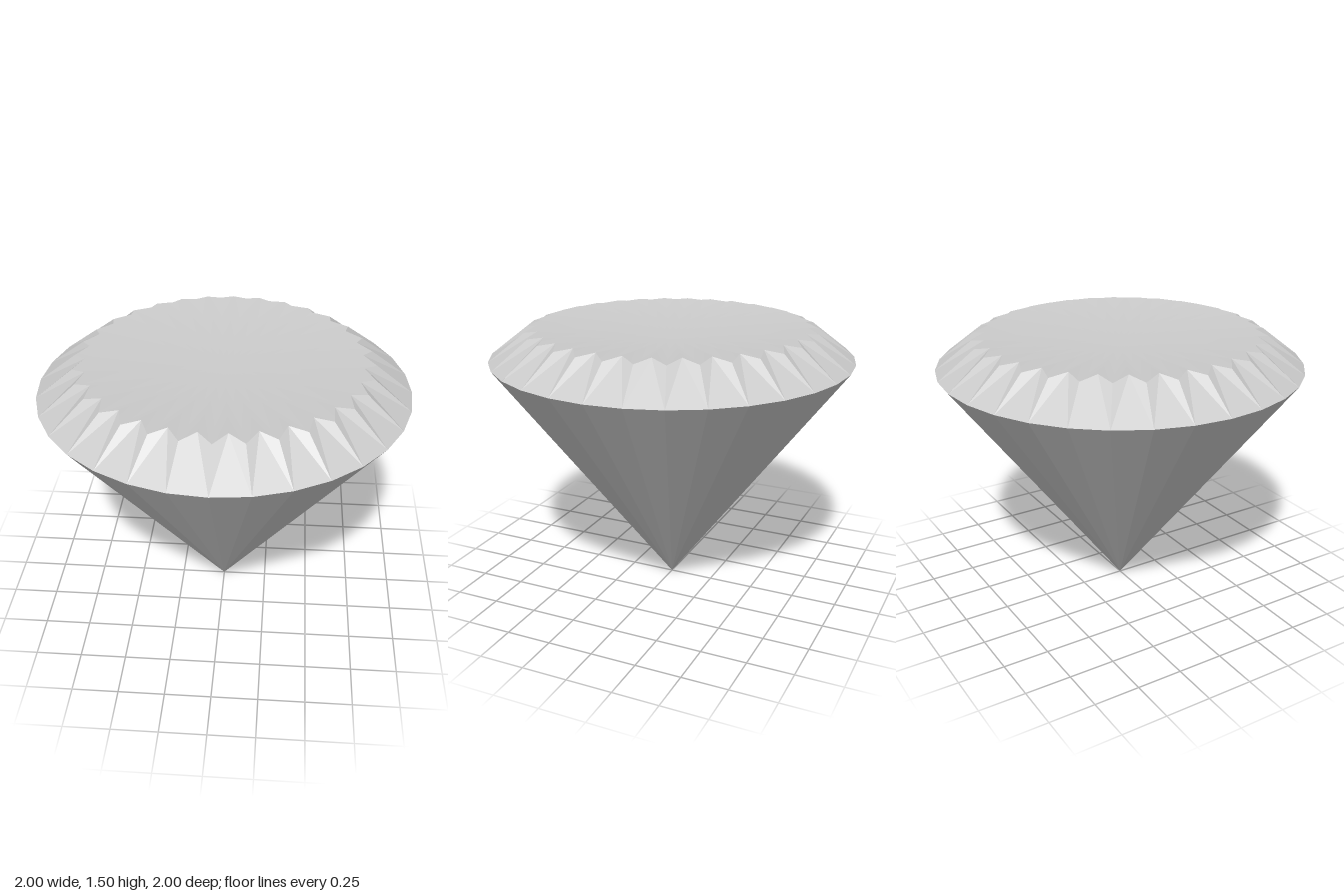
import * as THREE from 'three';

const SIDES = 32;

// Point on a ring; i counts sides, halves fall between corners.
function ringPoint(radius, y, i) {
  const a = ((i % SIDES) / SIDES) * Math.PI * 2;
  return [Math.sin(a) * radius, y, Math.cos(a) * radius];
}

const girdle = (i) => ringPoint(1, 1.33, i);
const tooth = (i) => ringPoint(0.8, 1.485, i);
const notch = (i) => ringPoint(0.735, 1.505, i + 0.5);

function makeMesh(name, points, index) {
  const geometry = new THREE.BufferGeometry();
  geometry.setAttribute('position', new THREE.Float32BufferAttribute(points.flat(), 3));
  if (index) geometry.setIndex(index);
  geometry.computeVertexNormals();
  const material = new THREE.MeshStandardMaterial({ color: 0xcccccc, flatShading: !index });
  const mesh = new THREE.Mesh(geometry, material);
  mesh.name = name;
  return mesh;
}

export function createModel() {
  const group = new THREE.Group();
  group.name = 'cutGem';

  const pavilion = [];
  const crown = [];
  const table = [[0, 1.43, 0]];
  const tableIndex = [];

  for (let i = 0; i < SIDES; i++) {
    // Lower facets run down to the point
    pavilion.push([0, 0, 0], girdle(i + 1), girdle(i));

    // Each crown side: one broad facet and two narrow ones
    crown.push(girdle(i), girdle(i + 1), notch(i));
    crown.push(girdle(i), notch(i), tooth(i));
    crown.push(girdle(i + 1), tooth(i + 1), notch(i));

    // Zigzag rim of the table
    table.push(tooth(i), notch(i));
  }

  // Shallow dished table, a smooth fan around its centre
  const rim = SIDES * 2;
  for (let k = 0; k < rim; k++) tableIndex.push(0, k + 1, ((k + 1) % rim) + 1);

  group.add(
    makeMesh('pavilion', pavilion),
    makeMesh('crown', crown),
    makeMesh('table', table, tableIndex),
  );
  return group;
}
